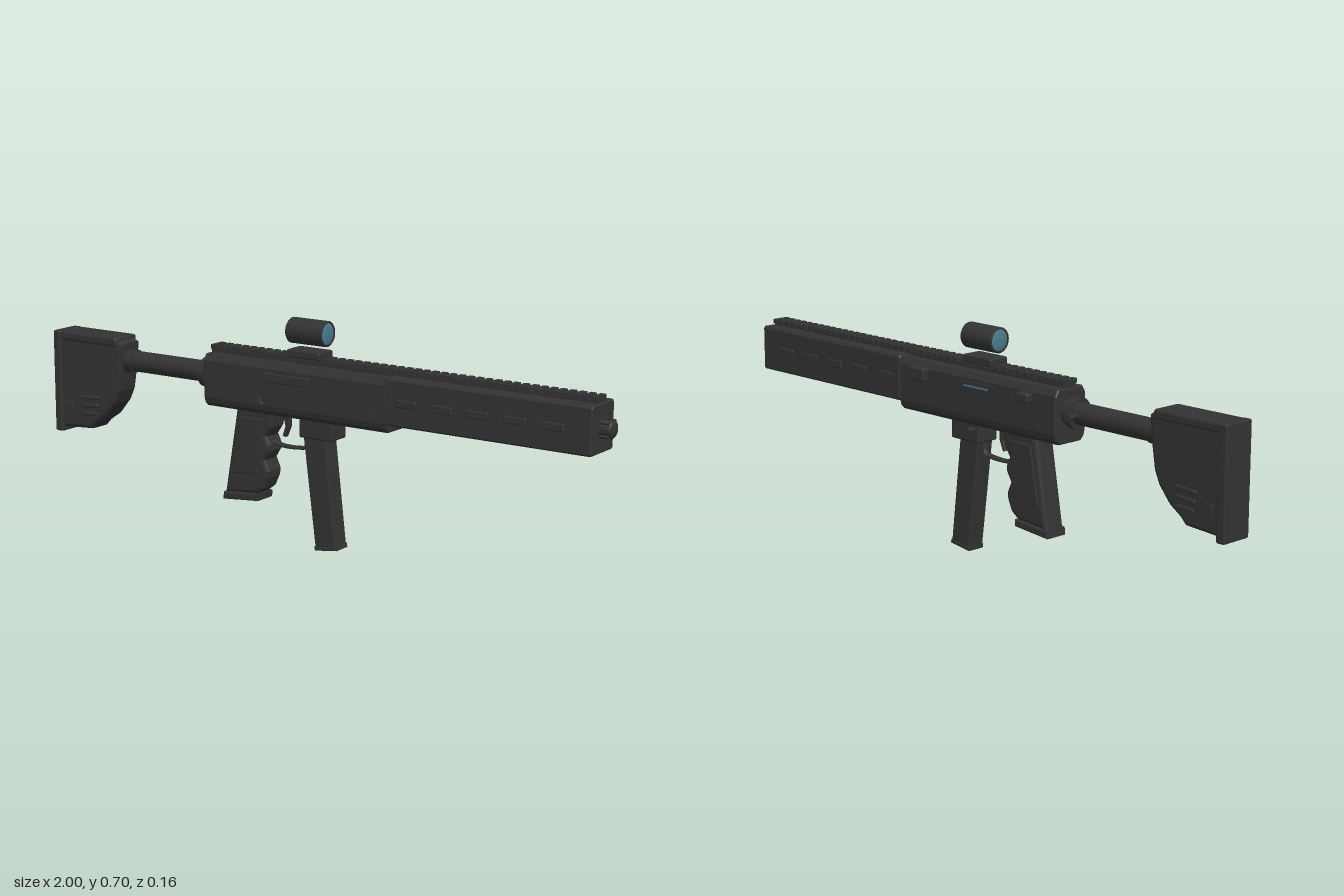
import * as THREE from 'three';
import { RoundedBoxGeometry } from 'three/addons/geometries/RoundedBoxGeometry.js';

export function createModel() {
  const root = new THREE.Group();
  const model = new THREE.Group();
  model.name = 'body';
  model.position.z = 0.006;
  root.add(model);

  const dark = new THREE.MeshStandardMaterial({ color: 0x333333 });
  dark.name = 'charcoal';
  const lens = new THREE.MeshStandardMaterial({ color: 0x4a7c8e });
  lens.name = 'teal glass';

  function add(name, geo, mat = dark, x = 0, y = 0, z = 0) {
    const m = new THREE.Mesh(geo, mat);
    m.name = name;
    m.position.set(x, y, z);
    model.add(m);
    return m;
  }
  // box from its limits
  function box(name, x0, x1, y0, y1, z0, z1, r = 0, mat = dark) {
    const s = [x1 - x0, y1 - y0, z1 - z0];
    const geo = r ? new RoundedBoxGeometry(...s, 2, r) : new THREE.BoxGeometry(...s);
    return add(name, geo, mat, (x0 + x1) / 2, (y0 + y1) / 2, (z0 + z1) / 2);
  }
  // cylinder along x
  function rod(name, x0, x1, y, r, sides = 24, mat = dark) {
    const geo = new THREE.CylinderGeometry(r, r, x1 - x0, sides).rotateZ(-Math.PI / 2);
    return add(name, geo, mat, (x0 + x1) / 2, y, 0);
  }
  // pin along z
  const pin = (name, x, y, z, r, len) =>
    add(name, new THREE.CylinderGeometry(r, r, len, 14).rotateX(Math.PI / 2), dark, x, y, z);
  const toShape = (pts) => new THREE.Shape(pts.map((p) => new THREE.Vector2(p[0], p[1])));
  // side outline with a total width and bevelled rim
  function plate(name, pts, width, bevel = 0.008) {
    const geo = new THREE.ExtrudeGeometry(toShape(pts), {
      depth: width - 2 * bevel, bevelEnabled: bevel > 0, bevelSize: bevel, bevelOffset: -bevel,
      bevelThickness: bevel, bevelSegments: 2,
    });
    return add(name, geo.translate(0, 0, -width / 2 + bevel));
  }
  // mirrored half section (z, y) swept along x
  function sweep(name, half, x0, x1, bevel = 0.004) {
    const pts = [...half, ...half.map(([z, y]) => [-z, y]).reverse()];
    const geo = new THREE.ExtrudeGeometry(toShape(pts), {
      depth: x1 - x0 - 2 * bevel, bevelEnabled: true, bevelSize: bevel, bevelOffset: -bevel,
      bevelThickness: bevel, bevelSegments: 1,
    });
    return add(name, geo.translate(0, 0, bevel).rotateY(Math.PI / 2), dark, x0, 0, 0);
  }

  // receiver and handguard
  sweep('receiver', [[0.046, 0.405], [0.058, 0.418], [0.062, 0.435], [0.062, 0.548], [0.05, 0.568]], -0.378, 0.292);
  sweep('handguard', [[0.06, 0.431], [0.065, 0.436], [0.065, 0.566], [0.06, 0.573]], 0.288, 0.96);
  for (const s of [1, -1]) {
    for (let i = 0; i < 5; i++) {
      const x = 0.36 + i * 0.12;
      const pad = new RoundedBoxGeometry(0.072, 0.024, 0.01, 2, 0.004);
      add('handguardSlot', pad, dark, x, 0.502, s * 0.064);
    }
    for (const [x, y] of [[-0.305, 0.45], [0.155, 0.45], [0.25, 0.45]]) pin('receiverPin', x, y, s * 0.062, 0.009, 0.007);
  }

  // toothed top rail
  box('railBase', -0.375, 0.955, 0.562, 0.58, -0.021, 0.021);
  for (let i = 0; i < 45; i++) {
    const x = -0.375 + i * 0.0298;
    box('railTooth', x, x + 0.018, 0.578, 0.592, -0.027, 0.027);
  }

  // muzzle with small ribs
  rod('muzzle', 0.955, 0.99, 0.502, 0.026);
  const dome = new THREE.SphereGeometry(0.026, 24, 8, 0, Math.PI * 2, 0, Math.PI / 2);
  dome.rotateZ(-Math.PI / 2).scale(0.38, 1, 1);
  add('muzzleDome', dome, dark, 0.99, 0.502, 0);
  for (let i = 0; i < 8; i++) {
    const a = (i * Math.PI) / 4;
    const rib = add('muzzleRib', new THREE.BoxGeometry(0.026, 0.008, 0.008), dark,
      0.976, 0.502 + Math.sin(a) * 0.027, Math.cos(a) * 0.027);
    rib.rotation.x = -a;
  }

  // optical sight
  box('sightMount', -0.083, 0.038, 0.587, 0.611, -0.035, 0.035, 0.005);
  const wall = [[0.033, -0.066], [0.036, -0.066], [0.039, -0.063], [0.039, 0.063], [0.036, 0.066], [0.033, 0.066], [0.033, -0.066]];
  const tube = new THREE.LatheGeometry(wall.map((p) => new THREE.Vector2(...p)), 32).rotateZ(-Math.PI / 2);
  add('sightTube', tube, dark, -0.021, 0.664, 0);
  for (const s of [1, -1]) {
    const glass = new THREE.SphereGeometry(0.0345, 28, 6, 0, Math.PI * 2, 0, Math.PI / 2);
    glass.rotateZ(-s * Math.PI / 2).scale(0.18, 1, 1);
    add('sightLens', glass, lens, -0.021 + s * 0.06, 0.664, 0);
  }

  // controls on the receiver sides
  box('sideCover', -0.15, 0.018, 0.508, 0.537, 0.058, 0.067, 0.004);
  box('portLip', -0.13, 0.02, 0.53, 0.54, -0.068, -0.058);
  box('portWindow', -0.1, 0.0, 0.524, 0.53, -0.067, -0.06, 0, lens);
  box('boltCatch', 0.16, 0.232, 0.51, 0.552, -0.084, -0.058, 0.006);
  box('chargingTab', -0.285, -0.235, 0.516, 0.546, -0.084, -0.058, 0.006);
  pin('selectorHub', -0.17, 0.447, 0.066, 0.014, 0.016);
  box('selectorLever', -0.185, -0.145, 0.434, 0.452, 0.064, 0.074, 0.004).rotation.z = -0.35;
  pin('releaseStem', -0.02, 0.39, -0.05, 0.006, 0.03);
  pin('releaseButton', -0.02, 0.39, -0.066, 0.011, 0.012);

  // buffer tube and collars
  rod('stockTube', -0.74, -0.37, 0.498, 0.033);
  rod('tubeCollar', -0.415, -0.395, 0.498, 0.047);
  rod('tubeRing', -0.397, -0.375, 0.498, 0.04);
  rod('stockRing', -0.725, -0.695, 0.498, 0.037);
  pin('slingStem', -0.43, 0.498, -0.045, 0.006, 0.035);
  pin('slingKnob', -0.43, 0.498, -0.065, 0.013, 0.009);

  // shoulder stock
  plate('stockBody', [
    [-0.985, 0.255], [-0.855, 0.264], [-0.835, 0.285], [-0.795, 0.312], [-0.755, 0.36], [-0.737, 0.4],
    [-0.724, 0.48], [-0.717, 0.555], [-0.74, 0.565], [-0.985, 0.565],
  ], 0.09, 0.012);
  box('cheekRest', -0.985, -0.737, 0.545, 0.574, -0.051, 0.051, 0.008);
  box('buttPlate', -1, -0.97, 0.242, 0.574, -0.053, 0.053, 0.006);
  for (const s of [1, -1]) {
    for (let i = 0; i < 3; i++) {
      add('stockSlot', new RoundedBoxGeometry(0.075 - i * 0.006, 0.013, 0.009, 2, 0.004), dark,
        -0.857, 0.368 - i * 0.027, s * 0.046).rotation.z = 0.08;
    }
    add('stockStud', new RoundedBoxGeometry(0.028, 0.036, 0.008, 2, 0.003), dark, -0.94, 0.328, s * 0.046);
  }

  // pistol grip with finger waves
  plate('grip', [
    [-0.27, 0.415], [-0.318, 0.135], [-0.2, 0.145], [-0.172, 0.165], [-0.156, 0.2], [-0.153, 0.222], [-0.168, 0.255],
    [-0.15, 0.285], [-0.15, 0.305], [-0.162, 0.33], [-0.142, 0.36], [-0.135, 0.415],
  ], 0.076, 0.012);
  plate('gripBase', [[-0.325, 0.112], [-0.192, 0.124], [-0.19, 0.146], [-0.322, 0.136]], 0.08, 0.004);
  plate('gripPanel', [[-0.255, 0.385], [-0.29, 0.2], [-0.192, 0.21], [-0.168, 0.385]], 0.084, 0.004);
  for (const s of [1, -1]) {
    for (let i = 0; i < 6; i++) pin('gripStud', -0.183 - i * 0.004, 0.36 - i * 0.027, s * 0.042, 0.005, 0.006);
  }

  // trigger and guard
  const guard = new THREE.CatmullRomCurve3([[-0.155, 0.312], [-0.13, 0.304], [-0.06, 0.304], [-0.03, 0.312], [-0.022, 0.36]]
    .map(([x, y]) => new THREE.Vector3(x, y, 0)));
  add('triggerGuard', new THREE.TubeGeometry(guard, 20, 0.006, 8).scale(1, 1, 2.2));
  plate('trigger', [[-0.118, 0.41], [-0.108, 0.365], [-0.119, 0.335], [-0.108, 0.332], [-0.094, 0.365], [-0.094, 0.41]], 0.018, 0.003);

  // magazine and its well
  box('magazineWell', -0.035, 0.083, 0.347, 0.415, -0.04, 0.04, 0.006);
  plate('magazine', [[-0.028, 0.37], [0.018, 0.01], [0.092, 0.02], [0.052, 0.37]], 0.061, 0.005);
  plate('magazineBase', [[0.017, 0], [0.096, 0.011], [0.094, 0.024], [0.015, 0.013]], 0.063, 0.003);

  return root;
}
